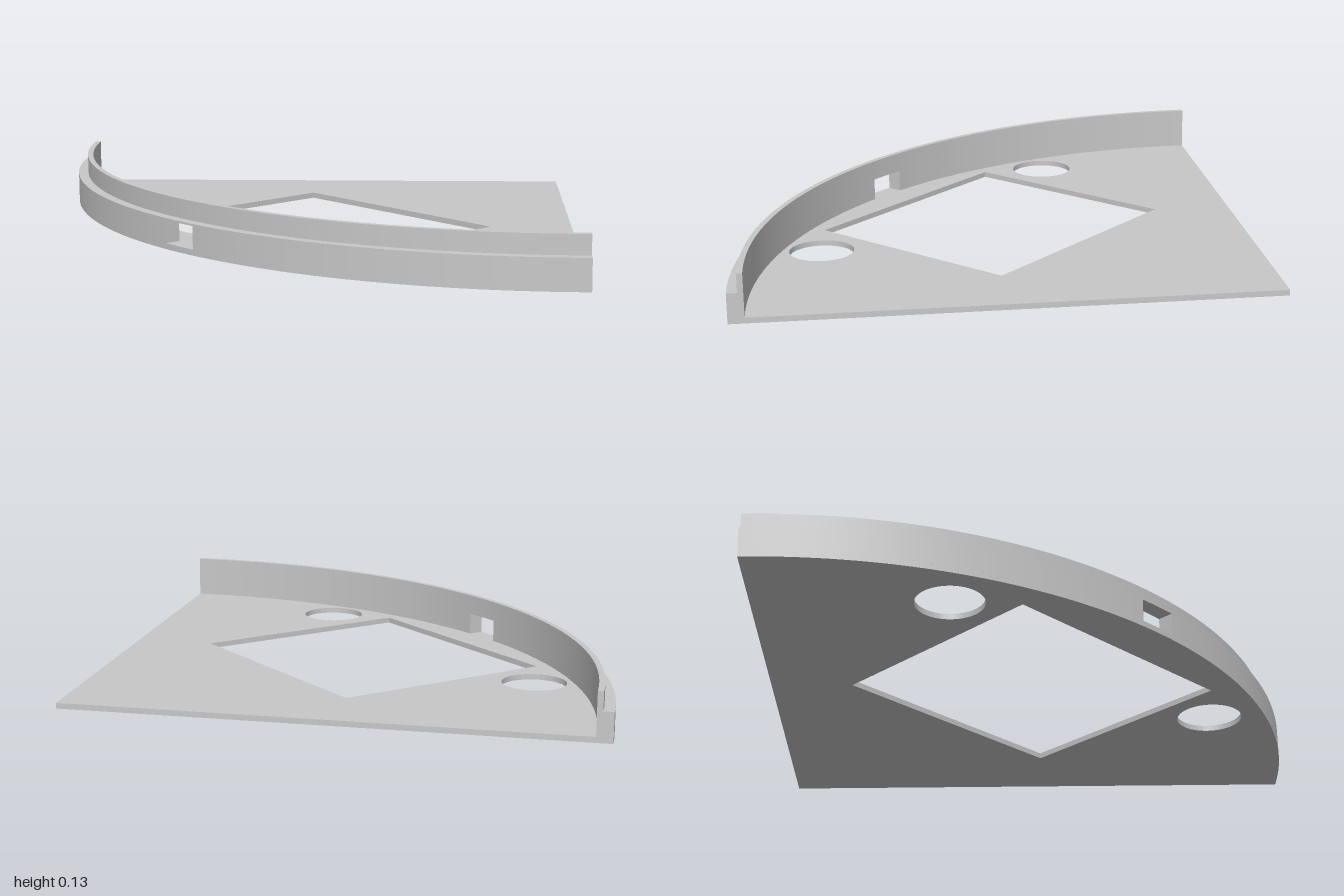
import * as THREE from 'three';
import { toCreasedNormals } from 'three/addons/utils/BufferGeometryUtils.js';

const APEX_Z = -0.707;           // tip of the quarter sector
const R = 1.414;                 // outer radius of plate and rim
const R_IN = 1.372, R_LIP = 1.387;
const PLATE = 0.015, SLOT_TOP = 0.075, STEP = 0.08, TOP = 0.13;
const HALF = Math.PI / 4, DOWN = -Math.PI / 2;
const SLOT = 0.055;              // half width of the slot in the rim

// Extrude a plan shape (origin at the tip, -y towards the front) from y0 up to y1
function slab(name, shape, y0, y1, material) {
  const g = new THREE.ExtrudeGeometry(shape, { depth: y1 - y0, bevelEnabled: false, curveSegments: 64 });
  g.rotateX(-Math.PI / 2);
  g.translate(0, y0, APEX_Z);
  const mesh = new THREE.Mesh(toCreasedNormals(g, 0.5), material);
  mesh.name = name;
  return mesh;
}

// Ring section; separate start and end angles let the slot sides stay parallel
function band(rIn, rOut, inFrom, outFrom, inTo, outTo) {
  const s = new THREE.Shape();
  s.absarc(0, 0, rOut, DOWN + outFrom, DOWN + outTo, false);
  s.absarc(0, 0, rIn, DOWN + inTo, DOWN + inFrom, true);
  s.closePath();
  return s;
}

export function createModel() {
  const group = new THREE.Group();
  group.name = 'sectorPanel';
  const grey = new THREE.MeshStandardMaterial({ color: 0xc8c8c8 });
  grey.name = 'grey';

  // Quarter-sector plate
  const plate = new THREE.Shape();
  plate.moveTo(0, 0);
  plate.lineTo(-R * Math.sin(HALF), -R * Math.cos(HALF));
  plate.absarc(0, 0, R, DOWN - HALF, DOWN + HALF, false);
  plate.closePath();

  // Rectangular window
  const y = z => APEX_Z - z;
  const win = new THREE.Path();
  win.moveTo(-0.355, y(-0.05));
  win.lineTo(-0.355, y(0.581));
  win.lineTo(0.355, y(0.581));
  win.lineTo(0.355, y(-0.05));
  win.closePath();
  plate.holes.push(win);

  // Round holes
  for (const side of [-1, 1]) {
    const hole = new THREE.Path();
    hole.absarc(side * 0.488, y(0.465), 0.087, 0, Math.PI * 2, true);
    plate.holes.push(hole);
  }
  group.add(slab('basePlate', plate, 0, PLATE, grey));

  // Lower rim in two halves, leaving the slot between them
  const aIn = Math.asin(SLOT / R_IN), aOut = Math.asin(SLOT / R);
  group.add(slab('leftRim', band(R_IN, R, aIn, aOut, HALF, HALF), PLATE, SLOT_TOP, grey));
  group.add(slab('rightRim', band(R_IN, R, -HALF, -HALF, -aIn, -aOut), PLATE, SLOT_TOP, grey));

  // Continuous ledge closing the slot, and the thin raised lip above it
  group.add(slab('rimLedge', band(R_IN, R, -HALF, -HALF, HALF, HALF), SLOT_TOP, STEP, grey));
  group.add(slab('upperLip', band(R_IN, R_LIP, -HALF, -HALF, HALF, HALF), STEP, TOP, grey));
  return group;
}
